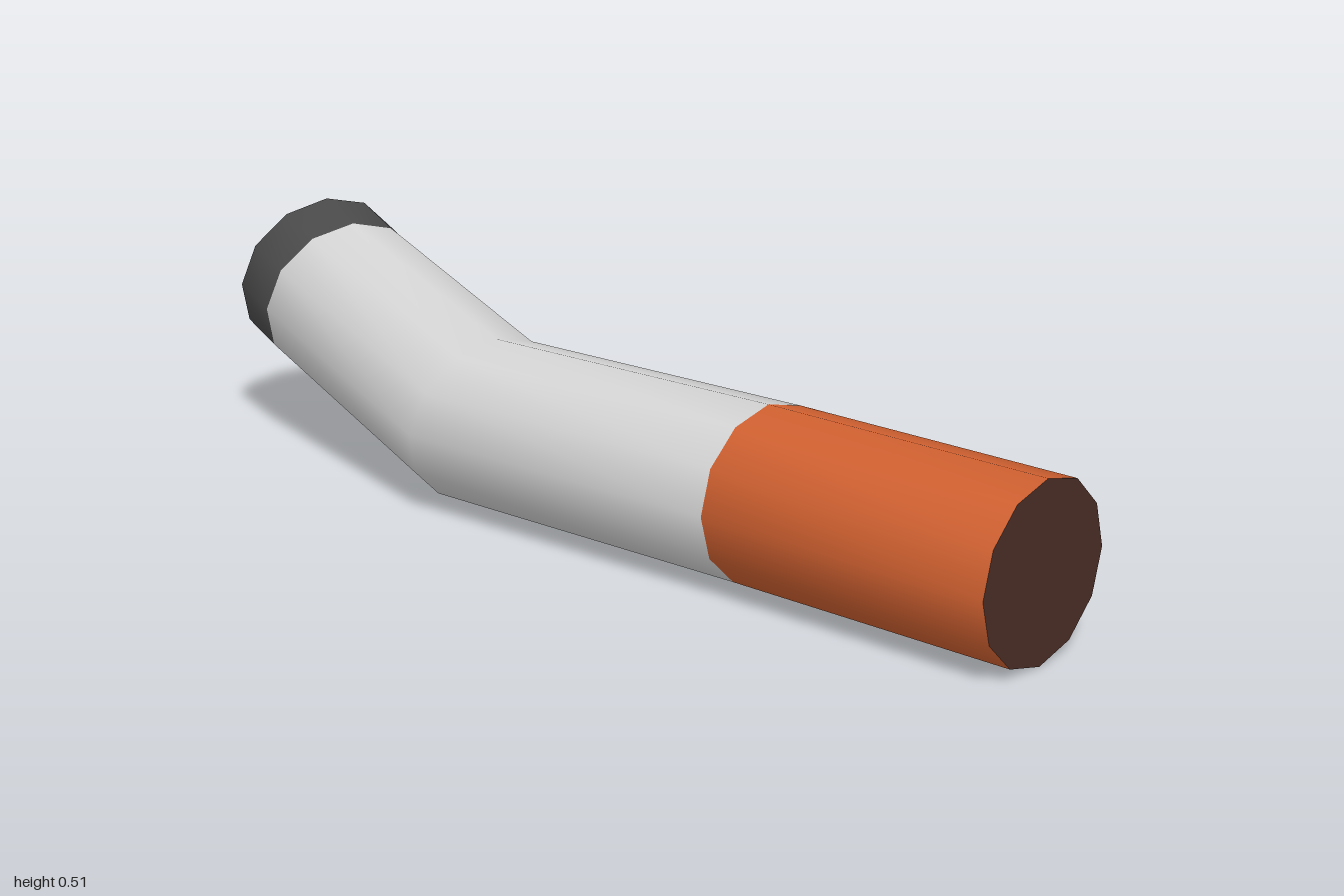
import * as THREE from 'three';

const SIDES = 12;

// Tilted rings along the bent stub: centre c, sideways radius u, upward radius v
const RINGS = [
  { c: [0.034, 0.182, 1.0], u: [0.181, 0, 0], v: [0, 0.181, 0] },
  { c: [0.004, 0.182, 0.38], u: [0.179, 0, 0.01], v: [0, 0.18, 0] },
  { c: [-0.052, 0.181, -0.325], u: [0.178, 0, 0.035], v: [0, 0.176, 0.035] },
  { c: [0.018, 0.317, -0.815], u: [0.172, -0.002, 0.057], v: [-0.01, 0.175, 0.042] },
  { c: [0.055, 0.341, -0.937], u: [0.174, 0, 0.055], v: [-0.01, 0.175, 0.041] },
];

function ringPoint(ring, k) {
  const a = (k / SIDES) * Math.PI * 2;
  return ring.c.map((c, i) => c + ring.u[i] * Math.cos(a) + ring.v[i] * Math.sin(a));
}

function makeGeometry(points, index) {
  const g = new THREE.BufferGeometry();
  g.setAttribute('position', new THREE.Float32BufferAttribute(points.flat(), 3));
  g.setIndex(index);
  g.computeVertexNormals();
  return g;
}

// Smooth open wall through several rings
function wall(rings) {
  const points = [], index = [];
  rings.forEach((ring, r) => {
    for (let k = 0; k < SIDES; k++) {
      points.push(ringPoint(ring, k));
      if (r === rings.length - 1) continue;
      const a = r * SIDES + k, b = r * SIDES + ((k + 1) % SIDES);
      index.push(a, a + SIDES, b, b, a + SIDES, b + SIDES);
    }
  });
  return makeGeometry(points, index);
}

// Flat end disc
function disc(ring, facesFront) {
  const points = [ring.c], index = [];
  for (let k = 0; k < SIDES; k++) {
    points.push(ringPoint(ring, k));
    const a = 1 + k, b = 1 + ((k + 1) % SIDES);
    index.push(0, ...(facesFront ? [a, b] : [b, a]));
  }
  return makeGeometry(points, index);
}

export function createModel() {
  const group = new THREE.Group();
  const material = (name, color) => {
    const m = new THREE.MeshStandardMaterial({ color });
    m.name = name;
    return m;
  };
  const orange = material('filter orange', 0xcf6030);
  const grey = material('paper grey', 0xd2d2d2);
  const charcoal = material('ash charcoal', 0x4a4a4a);
  const brown = material('end brown', 0x4a2d25);

  const add = (name, geometry, mat) => {
    const mesh = new THREE.Mesh(geometry, mat);
    mesh.name = name;
    group.add(mesh);
    return mesh;
  };

  add('filterWrap', wall(RINGS.slice(0, 2)), orange);
  add('paperTube', wall(RINGS.slice(1, 4)), grey);
  add('burntTip', wall(RINGS.slice(3, 5)), charcoal);
  add('filterEnd', disc(RINGS[0], true), brown);
  add('burntEnd', disc(RINGS[4], false), charcoal);

  // Small dark mark at the rim of the filter
  const mark = add('rimMark', new THREE.BoxGeometry(0.004, 0.047, 0.025), brown);
  mark.position.set(0.198, 0.123, 0.987);
  mark.rotation.z = -Math.PI / 12;

  return group;
}
